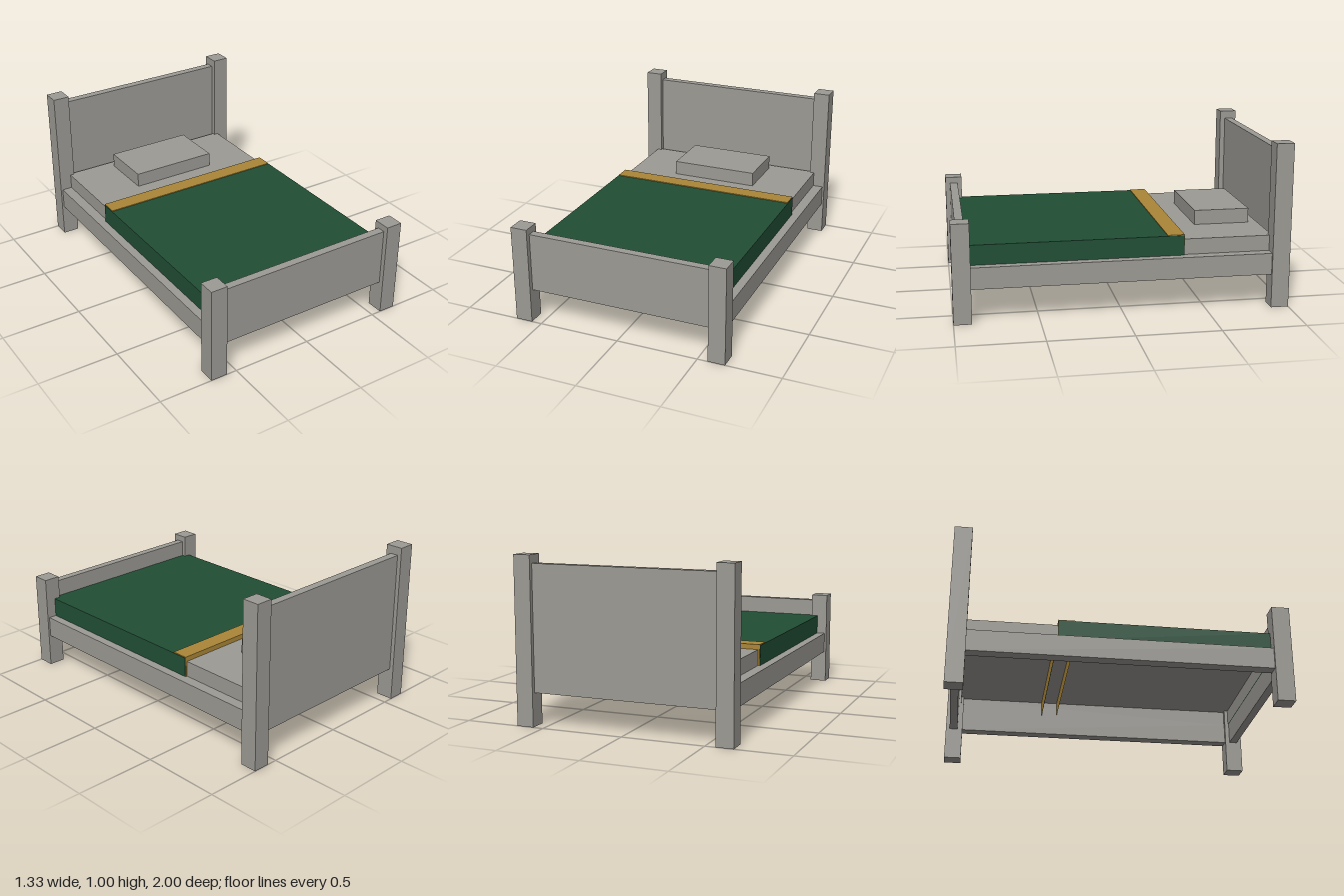
import * as THREE from 'three';

export function createModel() {
  const model = new THREE.Group();
  model.name = 'bed';

  const material = (name, color) =>
    new THREE.MeshStandardMaterial({ name, color, side: THREE.DoubleSide });
  const grey = material('grey', 0x9c9a94);
  const green = material('green', 0x214e35);
  const gold = material('gold', 0xab8637);

  // Box given by its min and max corners; optionally open underneath
  function box(name, mat, [x0, y0, z0], [x1, y1, z1], openBottom = false) {
    const geometry = new THREE.BoxGeometry(x1 - x0, y1 - y0, z1 - z0);
    if (openBottom) {
      const index = Array.from(geometry.index.array);
      index.splice(18, 6); // the downward face
      geometry.setIndex(index);
      geometry.clearGroups();
    }
    geometry.translate((x0 + x1) / 2, (y0 + y1) / 2, (z0 + z1) / 2);
    const mesh = new THREE.Mesh(geometry, mat);
    mesh.name = name;
    model.add(mesh);
  }

  // Posts and side rails, mirrored left and right
  for (const [side, s] of [['left', 1], ['right', -1]]) {
    const span = (a, b) => (s > 0 ? [a, b] : [-b, -a]);
    const [p0, p1] = span(0.563, 0.667);
    box(side + 'HeadPost', grey, [p0, 0, -1], [p1, 1, -0.893]);
    box(side + 'FootPost', grey, [p0, 0, 0.893], [p1, 0.6, 1]);
    const [r0, r1] = span(0.582, 0.655);
    box(side + 'SideRail', grey, [r0, 0.205, -0.91], [r1, 0.335, 0.92]);
  }

  // End boards
  box('headboard', grey, [-0.563, 0.2, -0.975], [0.563, 0.95, -0.925]);
  box('footboard', grey, [-0.563, 0.2, 0.92], [0.563, 0.56, 0.97]);

  // Bedding: shells without undersides
  box('mattress', grey, [-0.59, 0.33, -0.91], [0.59, 0.43, 0.915], true);
  box('blanket', green, [-0.603, 0.33, -0.368], [0.603, 0.455, 0.918], true);
  box('blanketFold', gold, [-0.6, 0.335, -0.37], [0.6, 0.46, -0.268], true);
  box('pillow', grey, [-0.28, 0.43, -0.853], [0.277, 0.52, -0.508], true);

  return model;
}
